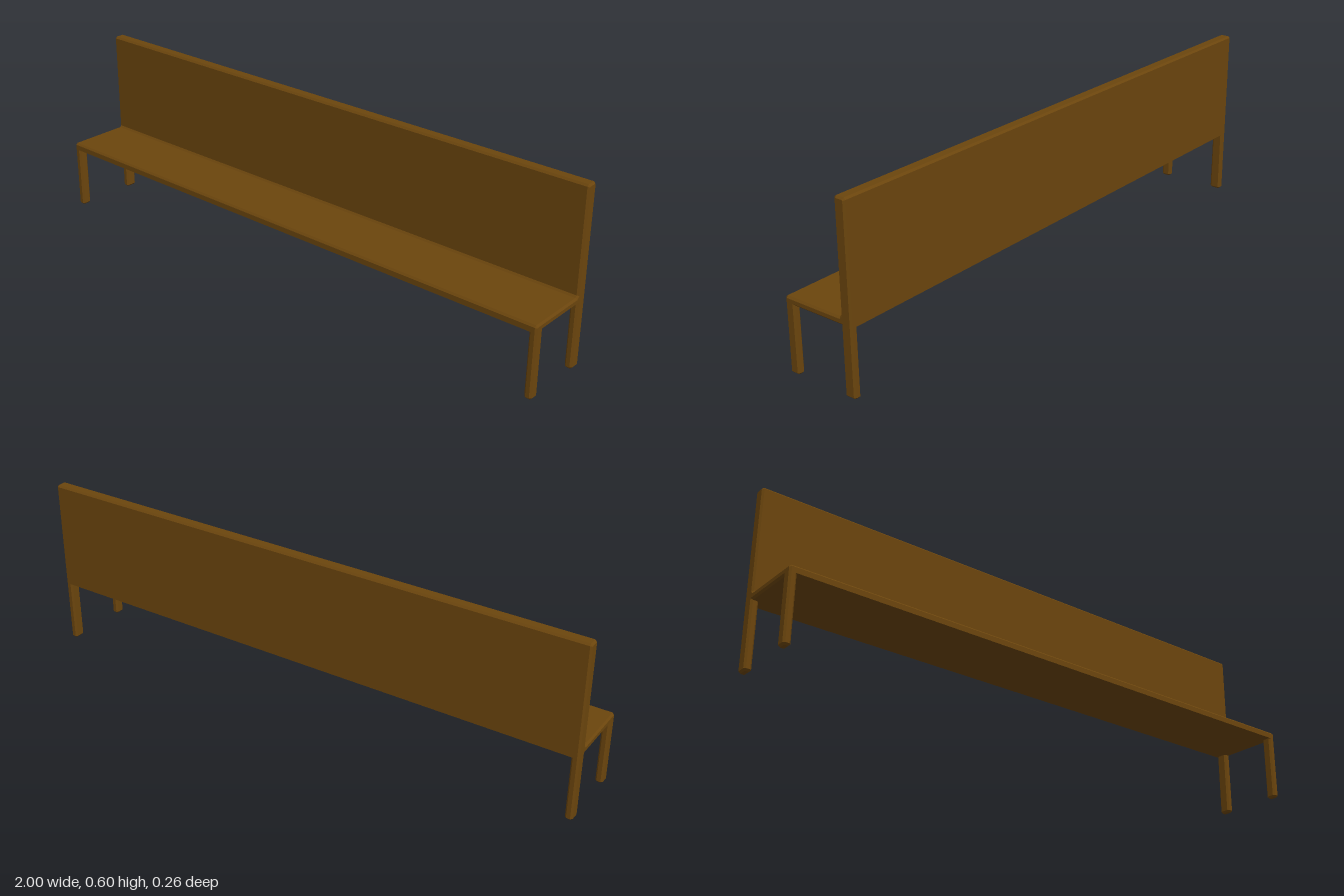
import * as THREE from 'three';

const BEVEL = 0.006;

// Extrude a closed outline to a full length, with chamfered ends kept inside it
function chamferedExtrude(points, length) {
  const shape = new THREE.Shape(points.map(([x, y]) => new THREE.Vector2(x, y)));
  const geometry = new THREE.ExtrudeGeometry(shape, {
    depth: length - 2 * BEVEL,
    bevelEnabled: true,
    bevelThickness: BEVEL,
    bevelSize: BEVEL,
    bevelOffset: -BEVEL,
    bevelSegments: 1,
  });
  return geometry.translate(0, 0, BEVEL - length / 2);
}

// Rectangle with cut corners
function cutRectangle(width, height, cut) {
  const w = width / 2, h = height / 2;
  return [
    [-w + cut, -h], [w - cut, -h], [w, -h + cut], [w, h - cut],
    [w - cut, h], [-w + cut, h], [-w, h - cut], [-w, -h + cut],
  ];
}

export function createModel() {
  const model = new THREE.Group();
  model.name = 'bench';
  const wood = new THREE.MeshStandardMaterial({ color: 0x6b450d, flatShading: true });

  // Seat and backrest: one L-shaped section along the whole bench, given as (z, y)
  const section = [
    [0.13, 0.222], [0.13, 0.24], [0.124, 0.246],
    [-0.084, 0.246], [-0.09, 0.252],
    [-0.09, 0.598], [-0.096, 0.604], [-0.124, 0.604], [-0.13, 0.598],
    [-0.13, 0.222],
  ].map(([z, y]) => [-z, y]);
  const body = new THREE.Mesh(chamferedExtrude(section, 2).rotateY(Math.PI / 2), wood);
  body.name = 'seatAndBackrest';
  model.add(body);

  // Four legs, running up into the seat and flush with its corners
  const legWidth = 0.025, legHeight = 0.24;
  const legs = [
    { name: 'FrontLeg', z: 0.1125, depth: 0.035 },
    { name: 'BackLeg', z: -0.11, depth: 0.04 },
  ];
  for (const { name, z, depth } of legs) {
    const geometry = chamferedExtrude(cutRectangle(legWidth, depth, BEVEL), legHeight).rotateX(-Math.PI / 2);
    for (const side of [-1, 1]) {
      const leg = new THREE.Mesh(geometry, wood);
      leg.name = (side > 0 ? 'left' : 'right') + name;
      leg.position.set(side * (1 - legWidth / 2), legHeight / 2, z);
      model.add(leg);
    }
  }

  return model;
}
